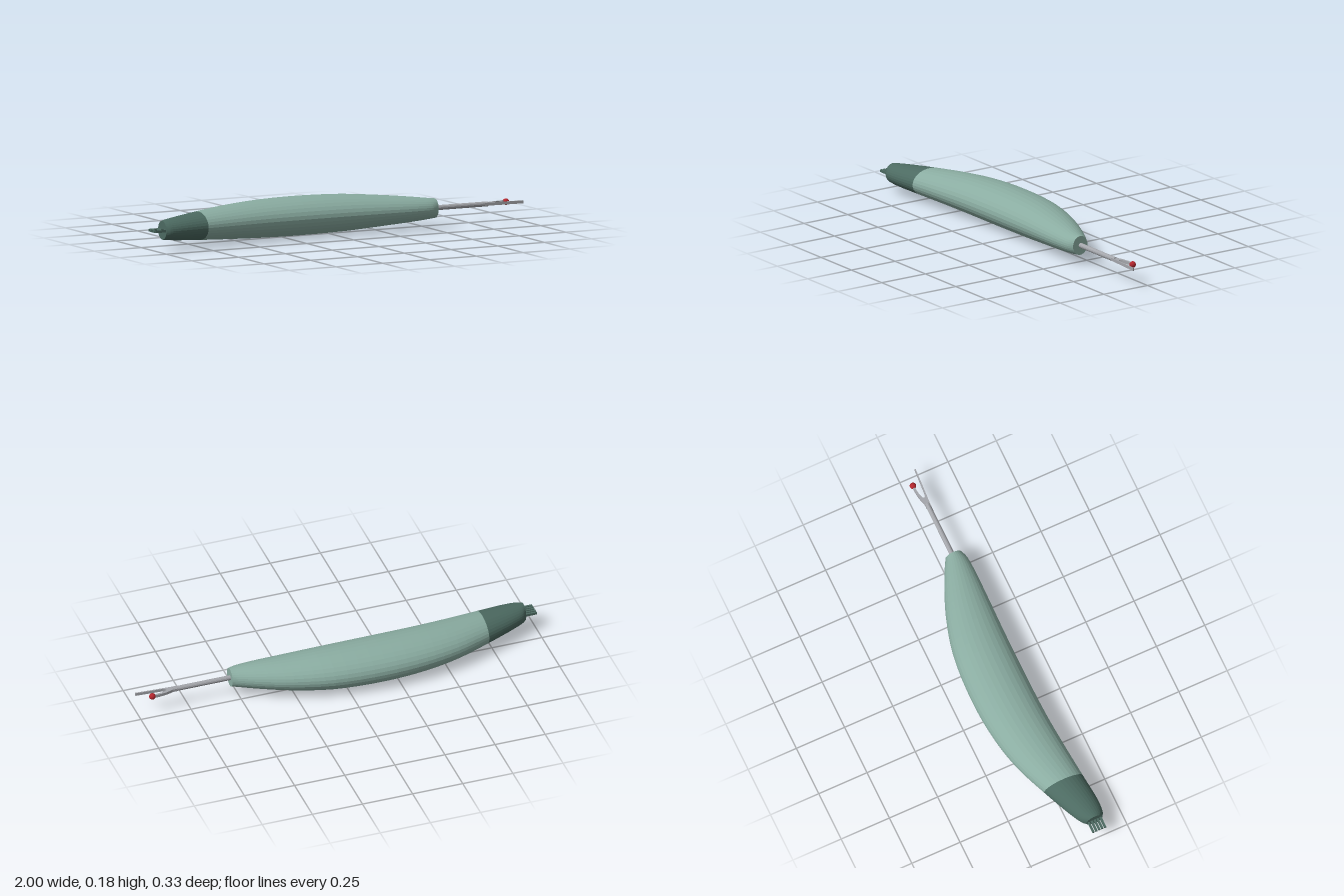
import * as THREE from 'three';

const MID = 0.094; // height of the tool's axis

// Handle stations: x, back z, front z, half height
const STATIONS = [
  [-0.945, 0.065, 0.148, 0.045], [-0.925, 0.045, 0.158, 0.048], [-0.87, 0.015, 0.163, 0.054],
  [-0.72, -0.05, 0.15, 0.067], [-0.55, -0.115, 0.135, 0.079], [-0.38, -0.152, 0.123, 0.088],
  [-0.17, -0.167, 0.118, 0.092], [0.08, -0.15, 0.118, 0.087], [0.27, -0.1, 0.121, 0.073],
  [0.41, -0.043, 0.122, 0.06], [0.49, -0.004, 0.118, 0.051], [0.515, 0.01, 0.112, 0.048],
  [0.535, 0.021, 0.103, 0.046],
];
const curve = (k) => new THREE.CatmullRomCurve3(
  STATIONS.map((s) => new THREE.Vector3(s[0], s[k], s[3])), false, 'centripetal');
const BACK = curve(1), FRONT = curve(2);
const LAST = STATIONS.length - 1;

// Lofts elliptical rings between two stations and caps the outer ends
function loft(from, to, steps, capStart, capEnd) {
  const SIDES = 32, pos = [], idx = [];
  for (let i = 0; i <= steps; i++) {
    const t = (from + (to - from) * i / steps) / LAST;
    const b = BACK.getPoint(t), f = FRONT.getPoint(t);
    const c = (b.y + f.y) / 2, r = (f.y - b.y) / 2;
    for (let j = 0; j < SIDES; j++) {
      const a = j / SIDES * Math.PI * 2;
      pos.push((b.x + f.x) / 2, MID + Math.sin(a) * b.z, c + Math.cos(a) * r);
    }
  }
  for (let i = 0; i < steps; i++) for (let j = 0; j < SIDES; j++) {
    const k = (j + 1) % SIDES, p = i * SIDES, q = p + SIDES;
    idx.push(p + j, q + j, q + k, p + j, q + k, p + k);
  }
  const e = steps * SIDES;
  for (let j = 1; j < SIDES - 1; j++) {
    if (capStart) idx.push(0, j, j + 1);
    if (capEnd) idx.push(e, e + j + 1, e + j);
  }
  const g = new THREE.BufferGeometry();
  g.setAttribute('position', new THREE.Float32BufferAttribute(pos, 3));
  g.setIndex(idx);
  g.computeVertexNormals();
  return g;
}

export function createModel() {
  const group = new THREE.Group();
  const material = (name, color, flatShading = true) => {
    const m = new THREE.MeshStandardMaterial({ color, flatShading });
    m.name = name;
    return m;
  };
  const light = material('sage green', 0x8aaca1);
  const dark = material('dark green', 0x4c6a61);
  const steel = material('steel', 0xa4a6ab);
  const red = material('red', 0xb3262e, false);
  const add = (name, geometry, mat) => {
    const m = new THREE.Mesh(geometry, mat);
    m.name = name;
    group.add(m);
    return m;
  };

  // Curved handle and its dark end
  add('handle', loft(3, LAST, 36, false, true), light);
  add('handleEnd', loft(0, 3, 12, true, false), dark);

  // Five small comb teeth
  for (let i = 0; i < 5; i++) {
    add('tooth', new THREE.BoxGeometry(0.07, 0.012, 0.01), dark)
      .position.set(-0.965, MID, 0.076 + i * 0.0152);
  }

  // Round shaft
  const shaft = add('shaft', new THREE.CylinderGeometry(0.012, 0.012, 0.31, 12), steel);
  shaft.rotation.z = Math.PI / 2;
  shaft.position.set(0.665, MID, 0.059);

  // Forked blade, drawn as x against z and laid flat
  const s = new THREE.Shape();
  s.moveTo(0.8, 0.047);
  s.lineTo(0.825, 0.046);
  s.quadraticCurveTo(0.865, 0.03, 0.925, 0.03);
  s.lineTo(0.925, 0.04);
  s.quadraticCurveTo(0.88, 0.041, 0.86, 0.05);
  s.quadraticCurveTo(0.842, 0.06, 0.868, 0.068);
  s.lineTo(1.0, 0.076);
  s.lineTo(1.0, 0.082);
  s.lineTo(0.825, 0.072);
  s.lineTo(0.8, 0.071);
  s.closePath();
  const fork = new THREE.ExtrudeGeometry(s, { depth: 0.014, bevelEnabled: false, curveSegments: 8 });
  fork.rotateX(Math.PI / 2).translate(0, MID + 0.007, 0);
  add('fork', fork, steel);

  // Safety ball on the short prong
  add('ball', new THREE.SphereGeometry(0.0155, 20, 14), red).position.set(0.93, MID, 0.036);

  return group;
}
